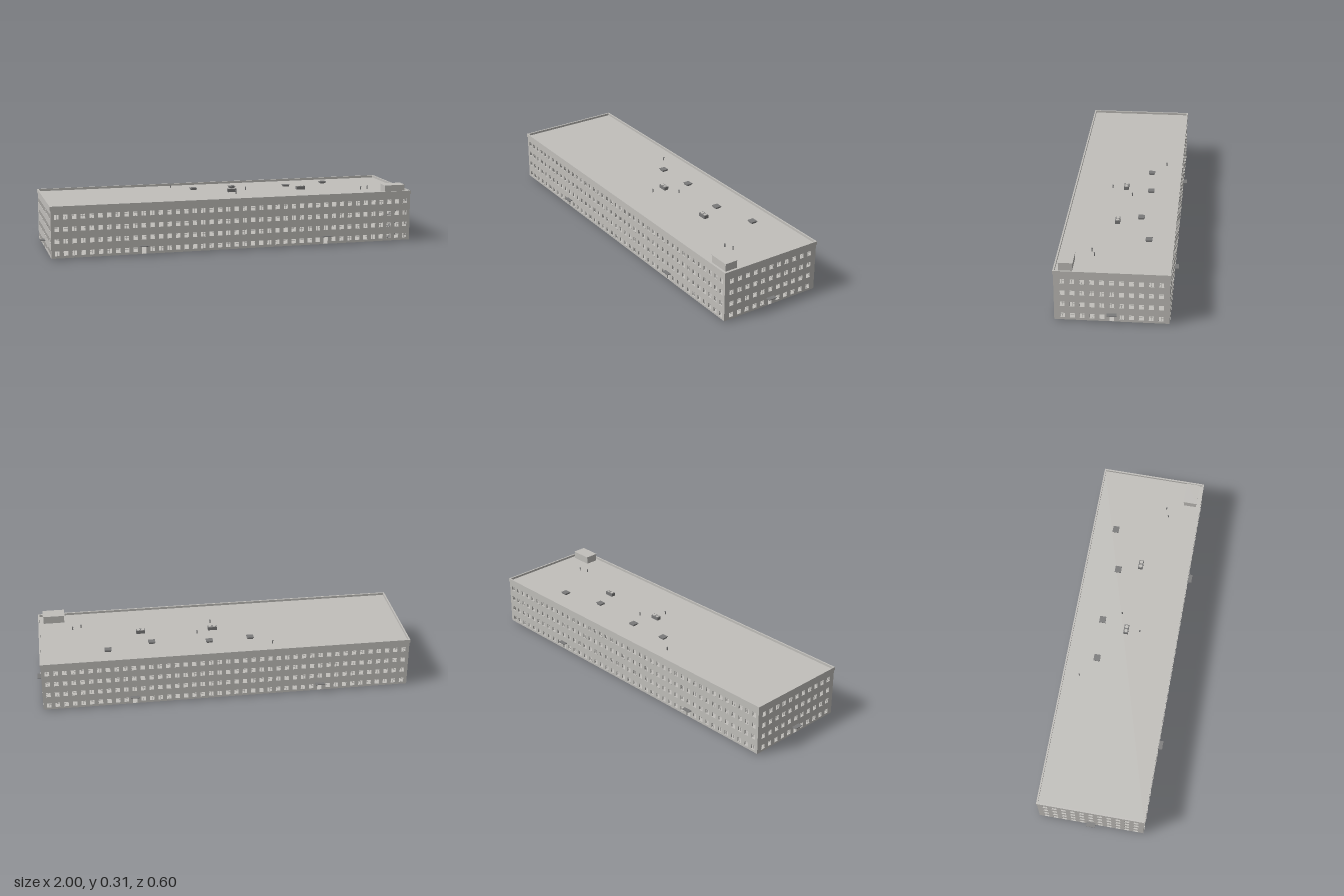
import * as THREE from 'three';
import { mergeGeometries } from 'three/addons/utils/BufferGeometryUtils.js';

const HX = 0.975, HZ = 0.28, BASE = 0.0055, TOP = 0.261, T = 0.008;
const STOREY = 0.063, FIRST = 0.0305, WIN = 0.0236, DOOR = 0.0118;

const concrete = new THREE.MeshStandardMaterial({ color: 0xc1bfbb });
concrete.name = 'concrete';
const grey = new THREE.MeshStandardMaterial({ color: 0x7a7a7a });
grey.name = 'greyMetal';

function box(w, h, d, x, y, z) {
  return new THREE.BoxGeometry(w, h, d).translate(x, y, z);
}

function add(parent, name, geometry, material) {
  const mesh = new THREE.Mesh(geometry, material);
  mesh.name = name;
  parent.add(mesh);
  return mesh;
}

function rectPath(x0, y0, x1, y1, Type = THREE.Path) {
  return new Type([[x0, y0], [x1, y0], [x1, y1], [x0, y1]].map(p => new THREE.Vector2(...p)));
}

// One facade: pierced wall, window bars, sills and door canopies; outer face at local z = 0
function makeFacade(name, half, count, spacing, doors, canopyDepth) {
  const group = new THREE.Group();
  group.name = name;

  // Outline with door notches open at the bottom
  const outline = new THREE.Shape().moveTo(-half, BASE);
  for (const d of doors) {
    outline.lineTo(d - DOOR, BASE).lineTo(d - DOOR, 0.044);
    outline.lineTo(d + DOOR, 0.044).lineTo(d + DOOR, BASE);
  }
  outline.lineTo(half, BASE).lineTo(half, TOP).lineTo(-half, TOP).closePath();

  const bars = [], sills = [];
  for (let row = 0; row < 4; row++) {
    for (let i = 0; i < count; i++) {
      const x = (i - (count - 1) / 2) * spacing;
      const y = FIRST + row * STOREY;
      if (row === 0 && doors.some(d => Math.abs(d - x) < 0.02)) continue;
      const r = WIN / 2;
      outline.holes.push(rectPath(x - r, y - r, x + r, y + r));
      bars.push(box(0.001, WIN, 0.001, x, y, -0.003));
      bars.push(box(WIN, 0.001, 0.001, x, y + 0.004, -0.003));
      sills.push(box(WIN + 0.002, 0.001, 0.003, x, y - r - 0.0005, 0.0005));
    }
  }
  const wall = new THREE.ExtrudeGeometry(outline, { depth: T, bevelEnabled: false });
  add(group, 'wall', wall.translate(0, 0, -T), concrete);
  add(group, 'windowBars', mergeGeometries(bars), concrete);
  add(group, 'windowSills', mergeGeometries(sills), concrete);
  for (const d of doors) {
    add(group, 'doorCanopy', box(0.048, 0.003, canopyDepth, d, 0.0485, canopyDepth / 2), grey);
  }
  return group;
}

export function createModel() {
  const model = new THREE.Group();
  model.name = 'officeBlock';

  // Four facades
  for (const side of [1, -1]) {
    const long = makeFacade(side > 0 ? 'frontFacade' : 'backFacade', HX, 43, 0.045, [-0.495, 0.495], 0.022);
    long.position.z = side * HZ;
    long.rotation.y = side > 0 ? 0 : Math.PI;
    const end = makeFacade(side > 0 ? 'leftFacade' : 'rightFacade', HZ - T, 11, 0.0478, [0], 0.025);
    end.position.x = side * HX;
    end.rotation.y = side * Math.PI / 2;
    model.add(long, end);
  }

  // Floors and roof deck
  for (let i = 0; i < 4; i++) {
    add(model, 'floorSlab', box(2 * HX - 0.002, 0.001, 2 * HZ - 0.002, 0, BASE + 0.0005 + i * STOREY, 0), concrete);
  }
  add(model, 'roofDeck', box(2 * HX, 0.004, 2 * HZ, 0, 0.2615, 0), concrete);

  // Parapet ring
  const ring = rectPath(-0.978, -0.283, 0.978, 0.283, THREE.Shape);
  ring.holes.push(rectPath(-0.97, -0.275, 0.97, 0.275));
  const parapet = new THREE.ExtrudeGeometry(ring, { depth: 0.0185, bevelEnabled: false });
  add(model, 'parapet', parapet.rotateX(-Math.PI / 2).translate(0, 0.257, 0), concrete);

  // Stair flights inside the corner
  for (let i = 0; i < 3; i++) {
    const flight = add(model, 'stairFlight', new THREE.BoxGeometry(0.075, 0.006, 0.034), grey);
    flight.position.set(0.89, 0.038 + i * STOREY, 0.256);
    flight.rotation.z = Math.PI / 4.5;
  }
  add(model, 'stairFoot', box(0.001, 0.006, 0.034, 0.87, 0.003, 0.256), grey);

  // Stair house on the roof
  add(model, 'stairHouse', box(0.112, 0.041, 0.068, 0.893, 0.2835, 0.225), concrete);
  add(model, 'stairHouseRoof', box(0.117, 0.002, 0.074, 0.893, 0.305, 0.225), concrete);

  // Roof hatches
  for (const [x, z] of [[-0.14, -0.12], [0.08, -0.13], [0.385, -0.1], [0.62, -0.155]]) {
    add(model, 'hatchCurb', box(0.031, 0.007, 0.029, x, 0.267, z), grey);
    add(model, 'hatchLid', box(0.037, 0.003, 0.034, x, 0.272, z), grey);
  }

  // Ventilation units with twin round fans on top
  for (const [x, z] of [[0.047, 0.005], [0.434, 0.018]]) {
    const unit = new THREE.Group();
    unit.name = 'ventilationUnit';
    unit.position.set(x, 0.263, z);
    add(unit, 'unitBody', box(0.048, 0.018, 0.025, 0, 0.009, 0), grey);
    for (const s of [1, -1]) {
      const fan = new THREE.CylinderGeometry(0.009, 0.009, 0.0025, 16);
      add(unit, 'fan', fan.translate(s * 0.0115, 0.019, 0), concrete);
    }
    model.add(unit);
  }

  // Vent pipes with caps
  for (const [x, z] of [[-0.25, -0.195], [0.05, 0.078], [0.135, -0.033], [0.75, 0.117], [0.795, 0.1]]) {
    add(model, 'ventPipe', new THREE.CylinderGeometry(0.0028, 0.0028, 0.016, 12).translate(x, 0.271, z), grey);
    add(model, 'ventCap', new THREE.CylinderGeometry(0.003, 0.0042, 0.003, 12).translate(x, 0.2805, z), grey);
  }
  return model;
}
